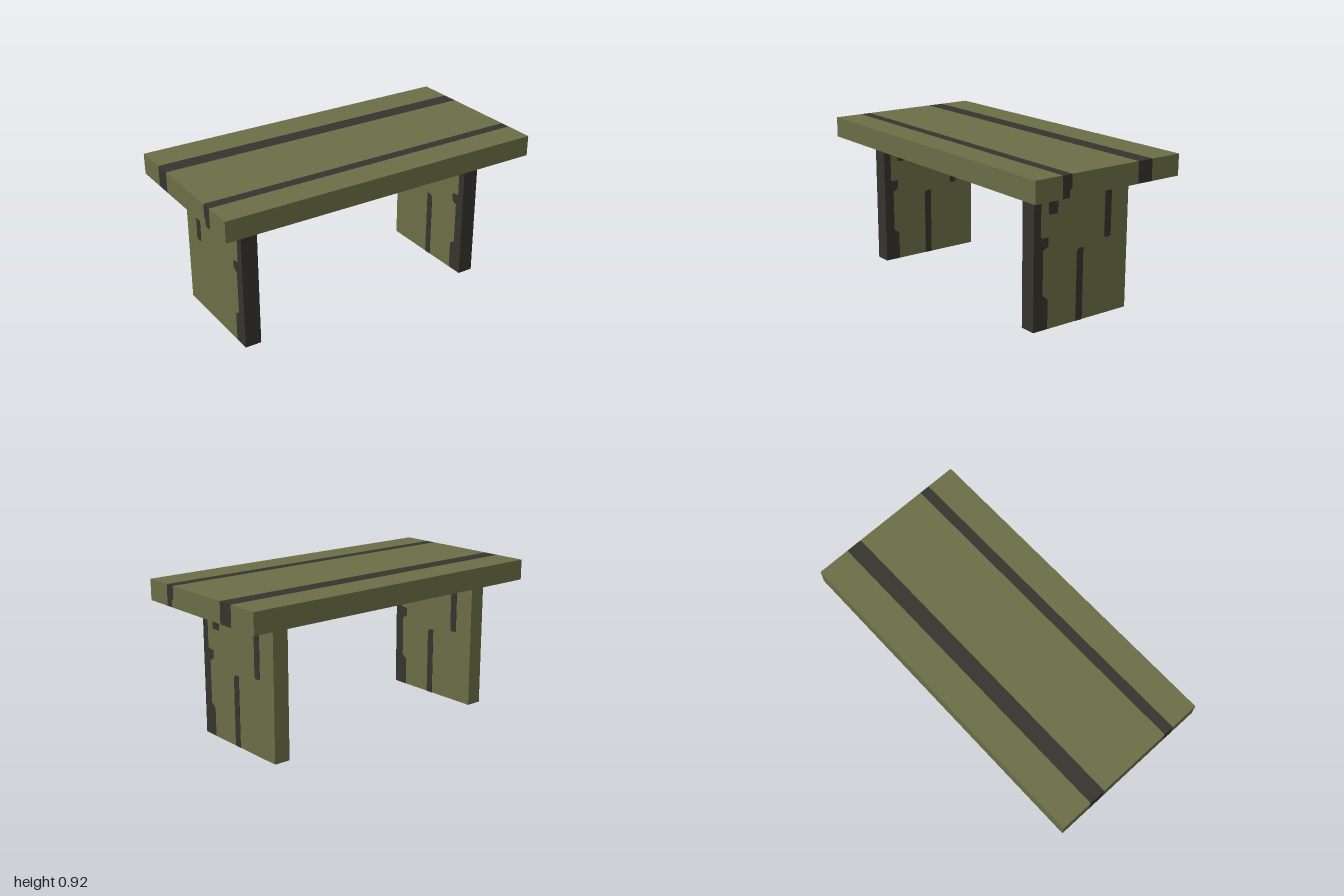
import * as THREE from 'three';

const olive = new THREE.MeshStandardMaterial({ color: 0x6b6e46 });
olive.name = 'olive';
const charcoal = new THREE.MeshStandardMaterial({ color: 0x36342e });
charcoal.name = 'charcoal';

// Extrude a [z, y] outline along x, from x0 to x1
function slice(name, outline, x0, x1, material) {
  const shape = new THREE.Shape(outline.map(([z, y]) => new THREE.Vector2(-z, y)));
  const geometry = new THREE.ExtrudeGeometry(shape, { depth: x1 - x0, bevelEnabled: false });
  geometry.rotateY(Math.PI / 2).translate(x0, 0, 0);
  const mesh = new THREE.Mesh(geometry, material);
  mesh.name = name;
  return mesh;
}

const rect = (z0, z1, y0, y1) => [[z0, y0], [z1, y0], [z1, y1], [z0, y1]];

const SEAT_Y = 0.792, TOP_Y = 0.915, HALF_Z = 0.495;
const LEG_FRONT = 0.32, LEG_BACK = -0.345;

// Ragged inner edges of the dark front bands, listed bottom to top
const seatEdge = [[0.272, SEAT_Y], [0.272, 0.832], [0.258, 0.84], [0.258, TOP_Y]];
const legEdge = [
  [0.222, 0], [0.222, 0.172], [0.245, 0.188], [0.257, 0.198], [0.257, 0.45],
  [0.235, 0.46], [0.222, 0.473], [0.222, 0.518], [0.268, 0.52], [0.273, 0.528], [0.273, SEAT_Y],
];

// Seat: planks and dark bands running the full length
function createSeat() {
  const seat = new THREE.Group();
  seat.name = 'seat';
  const add = (name, outline, material) => seat.add(slice(name, outline, -1, 1, material));
  add('backPlank', rect(-HALF_Z, -0.297, SEAT_Y, TOP_Y), olive);
  add('backBand', rect(-0.297, -0.198, SEAT_Y, TOP_Y), charcoal);
  add('middlePlank', [[-0.198, TOP_Y], [-0.198, SEAT_Y], ...seatEdge], olive);
  add('frontBand', [[LEG_FRONT, TOP_Y], [LEG_FRONT, SEAT_Y], ...seatEdge], charcoal);
  add('frontPlank', rect(LEG_FRONT, HALF_Z, SEAT_Y, TOP_Y), olive);
  return seat;
}

// Slab leg with a dark front edge and thin streaks on its broad faces
function createLeg(name, x0, x1, outerStreak) {
  const leg = new THREE.Group();
  leg.name = name;
  leg.add(slice('legPanel', [[LEG_BACK, SEAT_Y], [LEG_BACK, 0], ...legEdge], x0, x1, olive));
  leg.add(slice('legFrontBand', [[LEG_FRONT, SEAT_Y], [LEG_FRONT, 0], ...legEdge], x0, x1, charcoal));

  const shortStreak = [[0.16, SEAT_Y], [0.16, 0.65], [0.168, 0.643], [0.214, 0.643], [0.222, 0.65], [0.222, SEAT_Y]];
  const longStreak = [[-0.221, SEAT_Y], [-0.221, 0.453], [-0.21, 0.445], [-0.185, 0.445], [-0.174, 0.453], [-0.174, SEAT_Y]];
  const risingStreak = [[-0.023, 0], [0.023, 0], [0.023, 0.403], [0.008, 0.42], [-0.023, 0.42]];
  const t = 0.002;
  for (const [a, b, rising] of [[x1, x1 + t, true], [x0 - t, x0, outerStreak]]) {
    leg.add(slice('shortStreak', shortStreak, a, b, charcoal));
    leg.add(slice('longStreak', longStreak, a, b, charcoal));
    if (rising) leg.add(slice('risingStreak', risingStreak, a, b, charcoal));
  }
  return leg;
}

export function createModel() {
  const bench = new THREE.Group();
  bench.name = 'bench';
  bench.add(createSeat());
  bench.add(createLeg('leftLeg', 0.678, 0.775, true));
  bench.add(createLeg('rightLeg', -0.828, -0.73, false));
  return bench;
}
